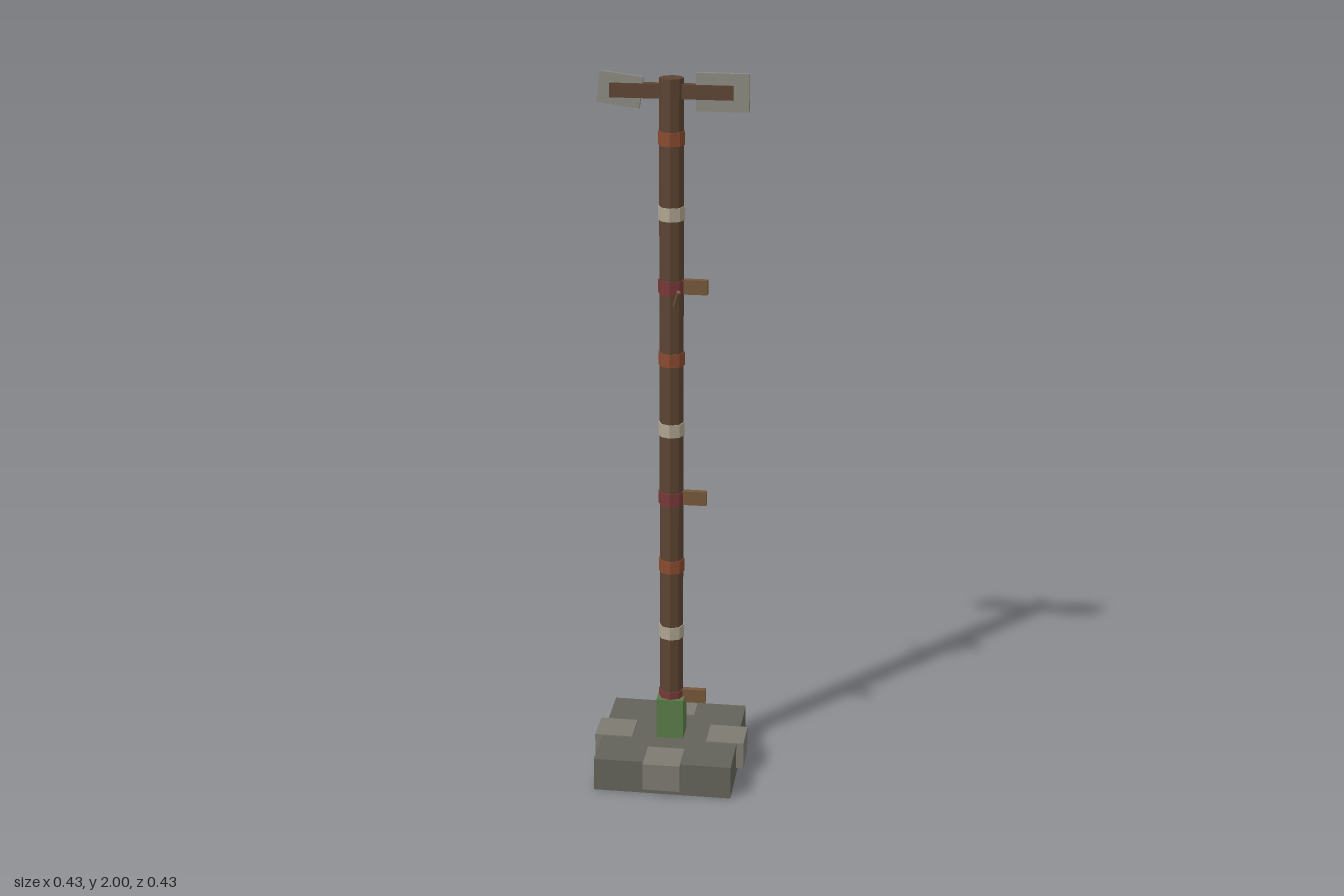
import * as THREE from 'three';

const material = (color) => new THREE.MeshStandardMaterial({ color, flatShading: true });

export function createModel() {
  const model = new THREE.Group();
  const stone = material(0x63635b), paleStone = material(0x7d7a72), moss = material(0x5a7a48);
  const wood = material(0x5c4433), pegWood = material(0x75573a), plate = material(0x8a8a80);
  const bandColors = [material(0x7a3838), material(0xb0a590), material(0x8a4a30)];

  const add = (name, geometry, mat, x, y, z) => {
    const mesh = new THREE.Mesh(geometry, mat);
    mesh.name = name;
    mesh.position.set(x, y, z);
    model.add(mesh);
    return mesh;
  };
  const box = (name, w, h, d, mat, x, y, z) =>
    add(name, new THREE.BoxGeometry(w, h, d), mat, x, y, z);

  // Square foundation with a stone set into each side
  box('base', 0.386, 0.096, 0.386, stone, 0, 0.048, 0);
  for (let i = 0; i < 4; i++) {
    const a = i * Math.PI / 2;
    const block = box('baseStone', 0.104, 0.079, 0.107, paleStone,
      Math.sin(a) * 0.16, 0.0605, Math.cos(a) * 0.16);
    block.rotation.y = a;
  }
  box('socket', 0.077, 0.125, 0.077, moss, 0, 0.1525, 0);

  // Octagonal pole
  add('pole', new THREE.CylinderGeometry(0.033, 0.033, 1.89, 8), wood, 0, 1.04, 0);

  // Bands in repeating colours, with a climbing peg at every third
  for (let i = 0; i < 9; i++) {
    const y = 0.217 + i * 0.2013;
    add('band', new THREE.CylinderGeometry(0.036, 0.036, 0.037, 8), bandColors[i % 3], 0, y, 0);
    if (i % 3 === 0) box('peg', 0.078, 0.04, 0.016, pegWood, 0.059, y, 0);
  }

  // Crossbar carrying two sign plates, one of them crooked
  box('crossbar', 0.324, 0.038, 0.024, wood, 0, 1.95, 0);
  box('rightHandPlate', 0.114, 0.083, 0.015, plate, -0.1355, 1.951, 0).rotation.z = -0.13;
  box('leftHandPlate', 0.139, 0.1, 0.015, plate, 0.134, 1.95, 0);

  // Thin shaft driven slantwise through the pole
  const top = new THREE.Vector3(0.028, 1.428, 0.067);
  const bottom = new THREE.Vector3(-0.029, 1.257, -0.07);
  const along = top.clone().sub(bottom);
  const middle = top.clone().add(bottom).multiplyScalar(0.5);
  const shaft = add('shaft', new THREE.CylinderGeometry(0.006, 0.006, along.length(), 5),
    pegWood, middle.x, middle.y, middle.z);
  shaft.quaternion.setFromUnitVectors(new THREE.Vector3(0, 1, 0), along.normalize());

  return model;
}
